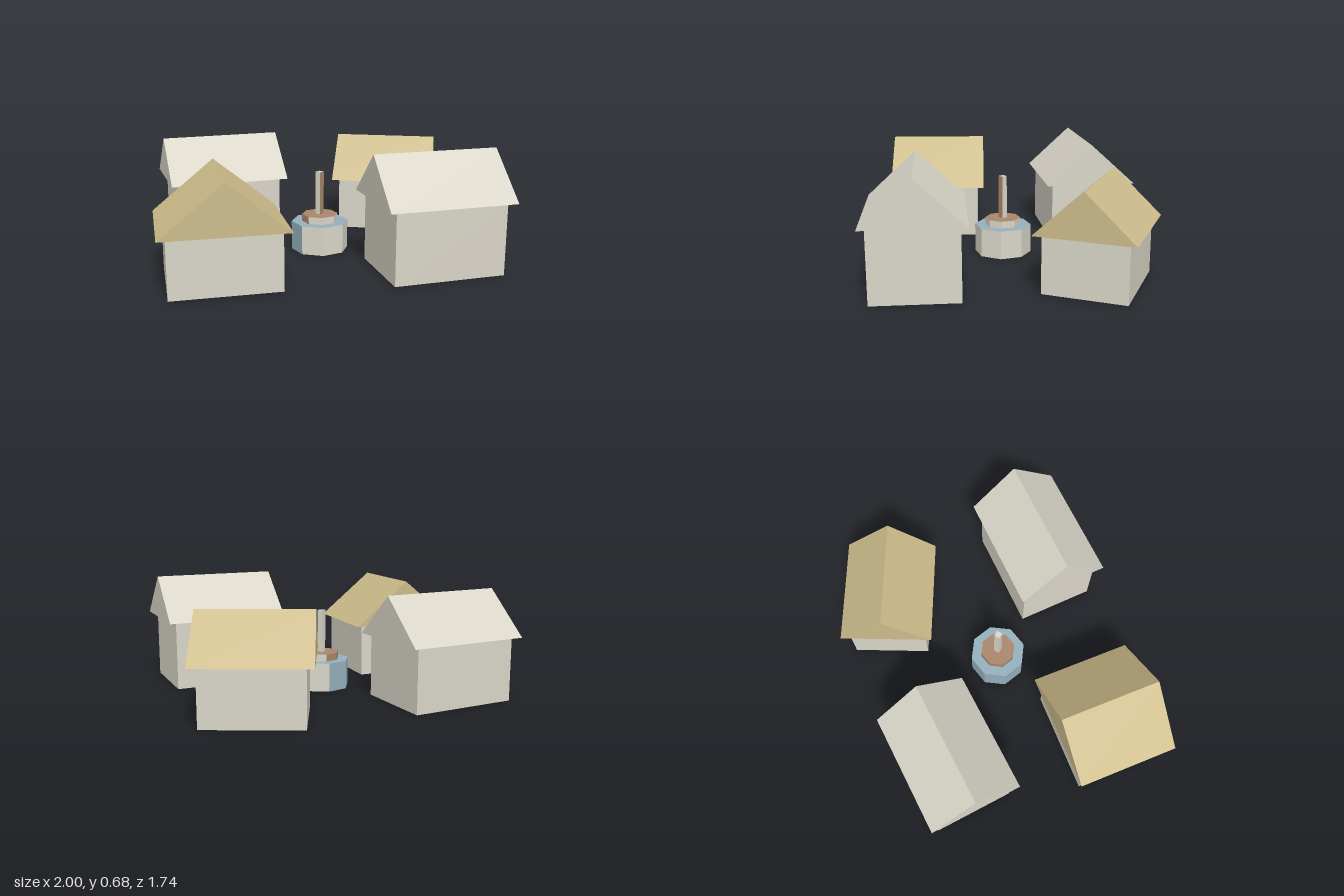
import * as THREE from 'three';

const material = (name, color) => {
  const m = new THREE.MeshStandardMaterial({ color });
  m.name = name;
  return m;
};

export function createModel() {
  const stone = material('pale stone', 0xd9d5c8);
  const thatch = material('thatch', 0xcdbc8b);
  const wood = material('wood', 0xa8876b);
  const water = material('water', 0x94b0be);

  const village = new THREE.Group();
  village.name = 'village';

  const add = (parent, name, geometry, mat) => {
    const mesh = new THREE.Mesh(geometry, mat);
    mesh.name = name;
    parent.add(mesh);
    return mesh;
  };

  // Cottage: box walls under an overhanging triangular prism roof
  function cottage({ name, x, z, turn, walls, roof, eave, ridge, alongZ, roofMat }) {
    const house = new THREE.Group();
    house.name = name;
    house.position.set(x, 0, z);
    house.rotation.y = turn;
    add(house, 'walls', new THREE.BoxGeometry(walls[0], eave, walls[1]), stone).position.y = eave / 2;

    const [span, length] = alongZ ? roof : [roof[1], roof[0]];
    const gable = new THREE.Shape([
      new THREE.Vector2(-span / 2, eave),
      new THREE.Vector2(span / 2, eave),
      new THREE.Vector2(0, ridge),
    ]);
    const prism = new THREE.ExtrudeGeometry(gable, { depth: length, bevelEnabled: false });
    prism.translate(0, 0, -length / 2);
    if (!alongZ) prism.rotateY(Math.PI / 2);
    add(house, 'roof', prism, roofMat);
    village.add(house);
  }

  cottage({ name: 'backRightCottage', x: -0.585, z: -0.423, turn: 0.2, walls: [0.646, 0.486],
    roof: [0.734, 0.561], eave: 0.375, ridge: 0.63, roofMat: stone });
  cottage({ name: 'backLeftCottage', x: 0.526, z: -0.508, turn: -0.3, walls: [0.562, 0.472],
    roof: [0.648, 0.56], eave: 0.33, ridge: 0.59, roofMat: thatch });
  cottage({ name: 'frontRightCottage', x: -0.605, z: 0.535, turn: 0.1, walls: [0.603, 0.52],
    roof: [0.694, 0.603], eave: 0.33, ridge: 0.613, alongZ: true, roofMat: thatch });
  cottage({ name: 'frontLeftCottage', x: 0.592, z: 0.489, turn: 0.152, walls: [0.648, 0.484],
    roof: [0.738, 0.559], eave: 0.415, ridge: 0.675, roofMat: stone });

  // Faceted drum whose sides are stone except for a run of accent faces
  function drum(parent, name, { radius, y0, y1, sides, first, count, accent, cap }) {
    const part = new THREE.Group();
    part.name = name;
    const step = (Math.PI * 2) / sides;
    const band = (label, start, n, mat) => {
      const g = new THREE.CylinderGeometry(radius, radius, y1 - y0, n, 1, true, start * step, n * step).toNonIndexed();
      g.computeVertexNormals();
      add(part, label, g, mat).position.y = (y0 + y1) / 2;
    };
    band('accentSides', first, count, accent);
    band('stoneSides', first + count, sides - count, stone);
    for (const [label, y, tilt] of [['top', y1, -1], ['underside', y0, 1]]) {
      const disc = add(part, label, new THREE.CircleGeometry(radius, sides), cap);
      disc.rotation.x = tilt * Math.PI / 2;
      disc.position.y = y;
    }
    parent.add(part);
  }

  // Central well: basin, step and post
  const well = new THREE.Group();
  well.name = 'well';
  well.position.z = 0.055;
  drum(well, 'basin', { radius: 0.172, y0: 0, y1: 0.174, sides: 8, first: 4, count: 3, accent: water, cap: water });
  drum(well, 'step', { radius: 0.108, y0: 0.174, y1: 0.217, sides: 8, first: 4, count: 3, accent: wood, cap: wood });
  drum(well, 'post', { radius: 0.025, y0: 0.217, y1: 0.478, sides: 4, first: 0, count: 1, accent: wood, cap: stone });
  village.add(well);

  return village;
}
